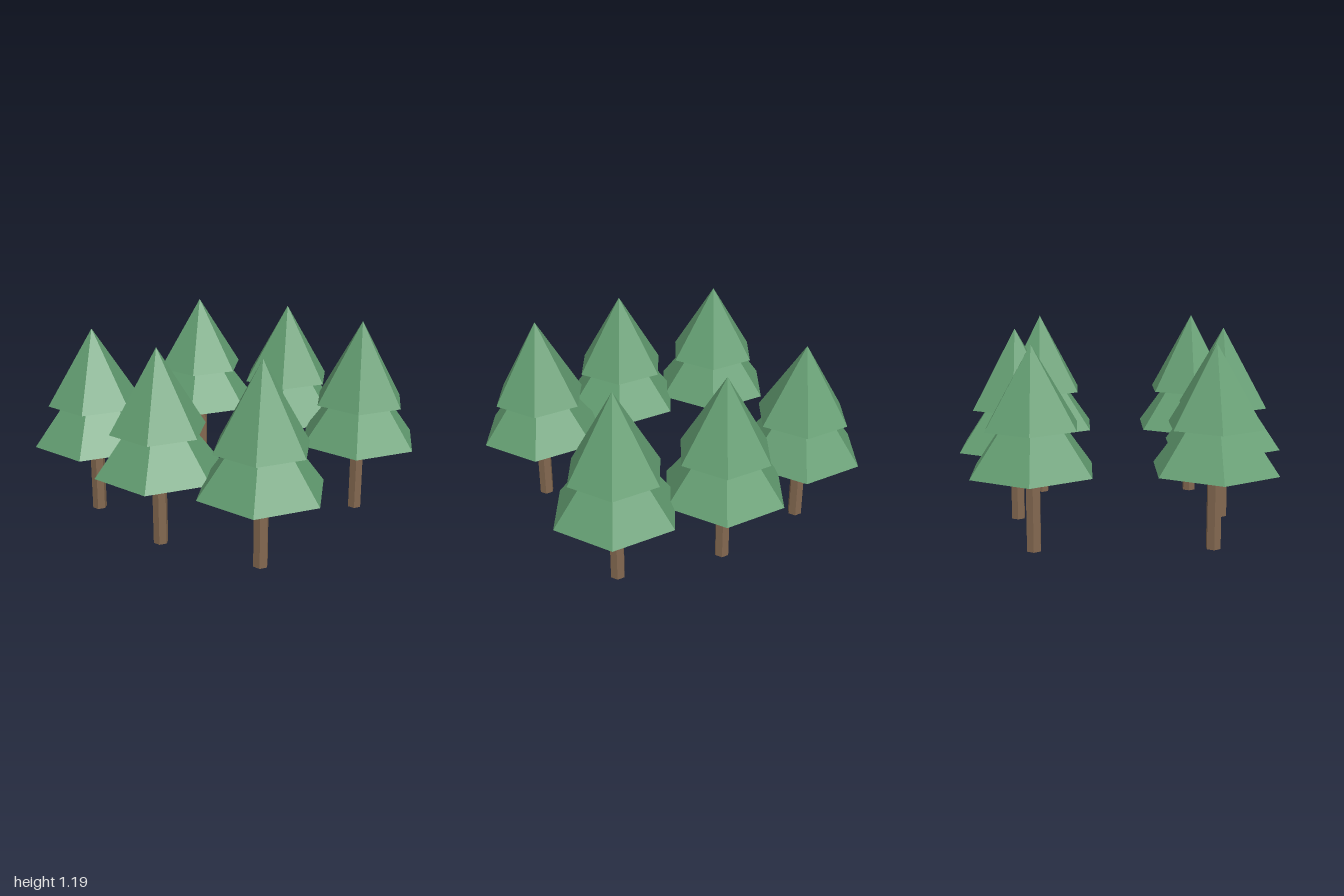
import * as THREE from 'three';

export function createModel() {
  const forest = new THREE.Group();
  forest.name = 'pineGrove';

  const foliage = new THREE.MeshStandardMaterial({ color: 0x629c70, flatShading: true });
  foliage.name = 'foliageGreen';
  const bark = new THREE.MeshStandardMaterial({ color: 0x836850, flatShading: true });
  bark.name = 'barkBrown';

  // Six-sided tapered part standing on yBase, with corners on the x axis
  function hexPart(name, rTop, rBottom, yBase, height, material) {
    const geometry = new THREE.CylinderGeometry(rTop, rBottom, height, 6, 1, false, Math.PI / 6);
    geometry.translate(0, yBase + height / 2, 0);
    const mesh = new THREE.Mesh(geometry, material);
    mesh.name = name;
    return mesh;
  }

  // One pine: trunk, wide lower tier, narrower upper tier reaching the tip
  function pine(x, z, tip) {
    const tree = new THREE.Group();
    tree.name = 'pineTree';
    tree.add(
      hexPart('trunk', 0.044, 0.044, 0, 0.46, bark),
      hexPart('lowerFoliage', 0, 0.375, 0.455, 0.5, foliage),
      hexPart('upperFoliage', 0, 0.283, 0.7, tip - 0.7, foliage)
    );
    tree.position.set(x, 0, z);
    return tree;
  }

  // Two mirrored rows of three, growing slightly taller toward +x
  for (const side of [1, -1]) {
    for (const column of [-1, 0, 1]) {
      const z = column === 0 ? 0.625 : 0.5;
      forest.add(pine(column * 0.625, side * z, 1.17 + column * 0.02));
    }
  }
  return forest;
}
